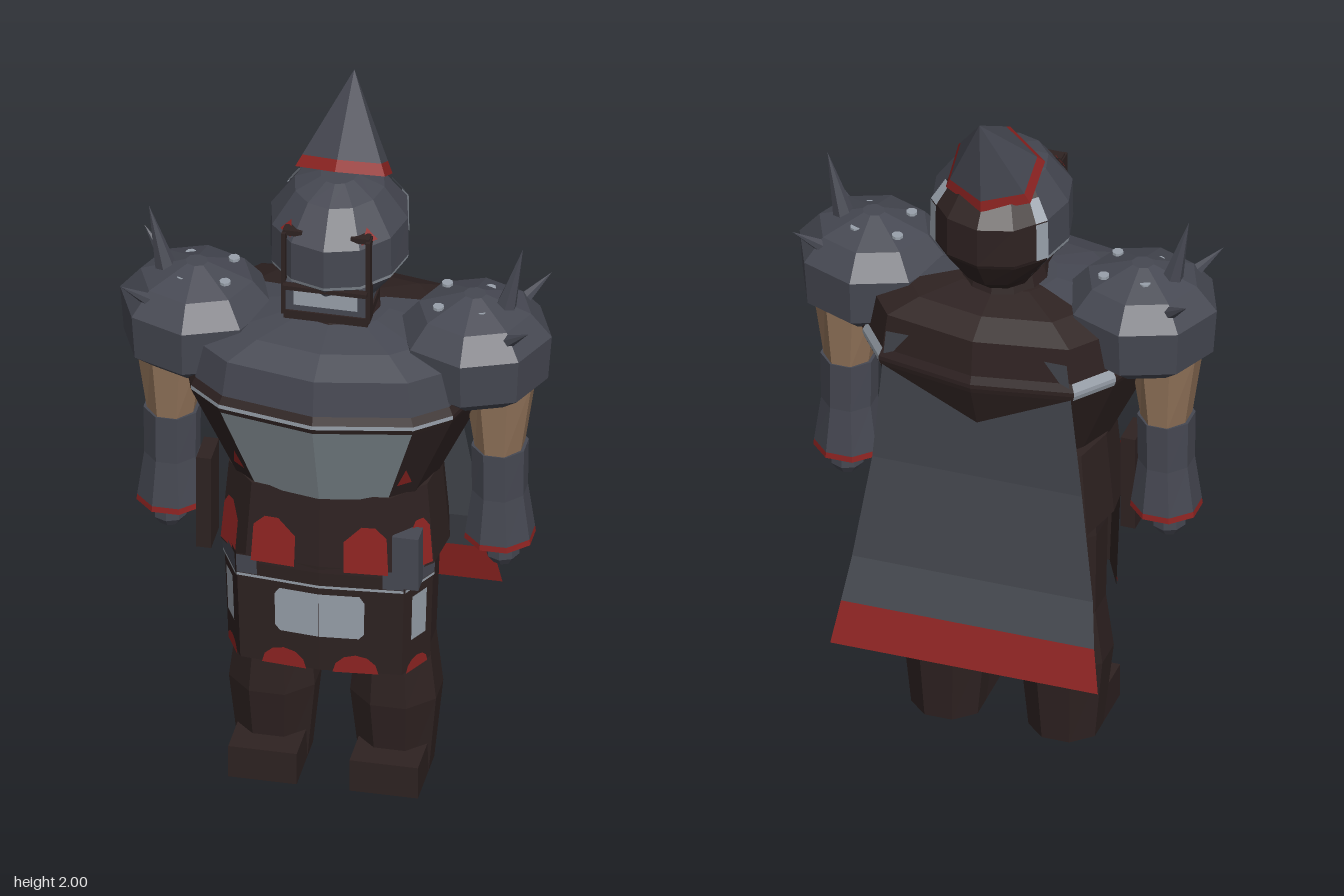
import * as THREE from 'three';

const mat = (name, color, side = THREE.FrontSide) =>
  Object.assign(new THREE.MeshStandardMaterial({ color, side, flatShading: true }), { name });
const steel = mat('steel', 0x464852, THREE.DoubleSide);
const brown = mat('darkLeather', 0x2e2221, THREE.DoubleSide);
const red = mat('red', 0x8f2422, THREE.DoubleSide);
const light = mat('brightMetal', 0x98a0aa, THREE.DoubleSide);
const plate = mat('chestPlate', 0x7c868c);
const skin = mat('skin', 0x8f7158);
const cloth = mat('capeCloth', 0x43464d, THREE.DoubleSide);

// Ring of points, front first, running towards +x
const ring = (y, rx, rz, cx = 0, cz = 0, n = 8, turn = 0) => Array.from({ length: n }, (_, j) => {
  const a = (j + turn) / n * Math.PI * 2;
  return [cx + rx * Math.sin(a), y, cz + rz * Math.cos(a)];
});
// Full ring from a half outline, front to back
const mirrored = (y, half, s = 1, dz = 0) => [
  ...half.map(([x, z]) => [x * s, y, z * s + dz]),
  ...half.slice(1, -1).reverse().map(([x, z]) => [-x * s, y, z * s + dz]),
];

// Skin over rings from bottom to top; pick(band, segment) returns the colour
function loft(name, rings, pick, closed = true) {
  const buckets = new Map();
  const tri = (m, ...pts) => {
    if (!buckets.has(m)) buckets.set(m, []);
    pts.forEach(p => buckets.get(m).push(...p));
  };
  const n = rings[0].length, last = rings.length - 1;
  const colour = typeof pick === 'function' ? pick : () => pick;
  for (let i = 0; i < last; i++) {
    for (let j = 0; j < (closed ? n : n - 1); j++) {
      const k = (j + 1) % n, a = rings[i][j], b = rings[i][k], c = rings[i + 1][k], d = rings[i + 1][j];
      tri(colour(i, j), a, b, c, a, c, d);
    }
  }
  if (closed) for (const [r, up] of [[rings[0], false], [rings[last], true]]) {
    const c = [0, 1, 2].map(k => r.reduce((s, p) => s + p[k], 0) / n);
    for (let j = 0; j < n; j++) {
      const a = r[j], b = r[(j + 1) % n], m = colour(up ? last - 1 : 0, j);
      up ? tri(m, c, a, b) : tri(m, c, b, a);
    }
  }
  const pos = [], geo = new THREE.BufferGeometry(), mats = [];
  for (const [m, list] of buckets) {
    geo.addGroup(pos.length / 3, list.length / 3, mats.length);
    mats.push(m);
    for (const v of list) pos.push(v);
  }
  geo.setAttribute('position', new THREE.Float32BufferAttribute(pos, 3));
  geo.computeVertexNormals();
  const mesh = new THREE.Mesh(geo, mats.length > 1 ? mats : mats[0]);
  mesh.name = name;
  return mesh;
}

// Painted shape on one loft facet; uv points run across and up the facet
function decal(name, lower, upper, j, uv, material, flip = false) {
  const n = lower.length, v3 = p => new THREE.Vector3(...p);
  const [a, b, c, d] = [lower[j], lower[(j + 1) % n], upper[(j + 1) % n], upper[j]].map(v3);
  const normal = b.clone().sub(a).cross(d.clone().sub(a)).normalize().multiplyScalar(0.005);
  const pts = uv.map(([u, v]) => {
    const t = flip ? 1 - u : u;
    return a.clone().lerp(b, t).lerp(d.clone().lerp(c, t), v).add(normal);
  });
  if (flip) pts.reverse();
  const pos = [];
  for (let i = 1; i < pts.length - 1; i++) [pts[0], pts[i], pts[i + 1]].forEach(p => pos.push(p.x, p.y, p.z));
  const geo = new THREE.BufferGeometry();
  geo.setAttribute('position', new THREE.Float32BufferAttribute(pos, 3));
  geo.computeVertexNormals();
  const mesh = new THREE.Mesh(geo, material);
  mesh.name = name;
  return mesh;
}
const rect = (u0, u1, v0, v1) => [[u0, v0], [u1, v0], [u1, v1], [u0, v1]];
const arch = (u0, u1, h) => Array.from({ length: 7 }, (_, i) => {
  const a = i / 6 * Math.PI;
  return [(u0 + u1) / 2 + (u1 - u0) / 2 * Math.cos(a), h * Math.sin(a)];
});

export function createModel() {
  const g = new THREE.Group();
  g.name = 'armouredWarrior';
  const box = (name, m, w, h, d, x, y, z) => {
    const b = new THREE.Mesh(new THREE.BoxGeometry(w, h, d), m);
    b.position.set(x, y, z);
    b.name = name;
    g.add(b);
  };
  const spike = (base, tip, r) => {
    const a = new THREE.Vector3(...base), dir = new THREE.Vector3(...tip).sub(a), h = dir.length();
    const m = new THREE.Mesh(new THREE.ConeGeometry(r, h, 6), steel);
    m.position.copy(a).addScaledVector(dir, 0.5);
    m.quaternion.setFromUnitVectors(new THREE.Vector3(0, 1, 0), dir.normalize());
    m.name = 'shoulderSpike';
    g.add(m);
  };
  // The same decal on a facet and its mirror image
  const pair = (name, rings, i, s, uv, m, n = 12) => {
    g.add(decal(name, rings[i], rings[i + 1], s, uv, m));
    g.add(decal(name, rings[i], rings[i + 1], n - 1 - s, uv, m, true));
  };
  const side = j => Math.min(j, 11 - j);

  // Chest, rim and shoulder yoke
  const chestHalf = [[0, .325], [.26, .275], [.35, .2], [.41, .02], [.35, -.13], [.27, -.235], [0, -.285]];
  const chest = [
    mirrored(.94, chestHalf, .68, .015), mirrored(1.2, chestHalf, .985), mirrored(1.215, chestHalf),
    mirrored(1.227, chestHalf), mirrored(1.25, chestHalf, .97), mirrored(1.35, chestHalf, .93),
    mirrored(1.385, chestHalf, .68), mirrored(1.41, chestHalf, .34),
  ];
  g.add(loft('chest', chest, (i, j) => {
    const s = side(j);
    if (i === 0) return s === 0 ? plate : brown;
    if (i < 4) return s === 4 || (i === 2 && s < 2) ? light : brown;
    return s < 4 ? steel : brown;
  }));
  pair('chestMark', chest, 0, 1, [[.1, .22], [.6, .22], [.2, .45]], red);

  // Waist with red patches
  const waistHalf = [[0, .24], [.2, .225], [.285, .13], [.3, 0], [.27, -.13], [.16, -.185], [0, -.19]];
  const waist = [mirrored(.71, waistHalf), mirrored(.95, waistHalf, .93)];
  g.add(loft('waist', waist, brown));
  const patch = (u0, u1) => [[u0, .04], [u1, .04], [u1, .5], [u1 - .15, .62], [u0 + .25, .62], [u0, .42]];
  pair('waistPatch', waist, 0, 0, patch(.33, .92), red);
  pair('hipPatch', waist, 0, 1, patch(.35, .95), red);
  pair('backPatch', waist, 0, 4, patch(.1, .95), red);
  box('hipPouch', steel, .07, .16, .06, .228, .76, .195);
  box('sheath', brown, .04, .28, .1, -.335, .8, .06);

  // Front skirt, an open curved flap
  const flap = (y, s) => [[-.275, .11], [-.22, .215], [0, .235], [.22, .215], [.275, .11]].map(([x, z]) => [x * s, y, z * s]);
  const skirt = [flap(.4, .98), flap(.73, 1.02)];
  g.add(loft('frontSkirt', skirt, brown, false));
  const onSkirt = (name, s, uv, m) => {
    g.add(decal(name, skirt[0], skirt[1], 2 + s, uv, m));
    g.add(decal(name, skirt[0], skirt[1], 1 - s, uv, m, true));
  };
  onSkirt('skirtPanel', 0, [[0, .33], [.48, .33], [.54, .38], [.54, .68], [.48, .74], [0, .74]], light);
  onSkirt('sidePanel', 1, rect(.25, .75, .3, .72), light);
  onSkirt('hemMark', 0, arch(.16, .72, .17), red);
  onSkirt('hemMark', 1, arch(.1, .85, .12), red);
  for (const s of [0, 1]) onSkirt('beltLine', s, rect(0, 1, .8, .825), light);
  onSkirt('beltTop', 0, rect(.75, 1, .83, 1), steel);
  onSkirt('beltTop', 1, rect(0, 1, .83, 1), steel);

  for (const s of [-1, 1]) {
    // Legs and feet
    const leg = (y, rx, rz, cx, cz) => ring(y, rx * 1.08, rz * 1.08, s * cx, cz, 8, .5);
    g.add(loft('leg', [leg(0, .092, .085, .162, .015), leg(.24, .115, .112, .162, .02),
      leg(.4, .098, .105, .16, .015), leg(.65, .115, .113, .15, .007), leg(.76, .11, .11, .15, .01)], brown));
    box('foot', brown, .183, .095, .15, s * .162, .0475, .11);

    // Shoulder guard, studs and spikes
    const bx = s * .372, bz = .022;
    g.add(loft('shoulderGuard', [[1.21, .13], [1.26, .195], [1.39, .205], [1.455, .15], [1.5, .03]]
      .map(([y, r]) => ring(y, r, r * .95, bx, bz)), steel));
    for (const dx of [.285, .4]) for (const dz of [-.04, .075]) {
      const stud = new THREE.Mesh(new THREE.CylinderGeometry(.015, .015, .008, 8), light);
      stud.position.set(s * dx, 1.478, dz);
      stud.name = 'stud';
      g.add(stud);
    }
    spike([s * .445, 1.43, .022], [s * .5, 1.655, .022], .035);
    spike([s * .46, 1.41, -.065], [s * .545, 1.49, -.13], .025);
    spike([s * .46, 1.41, .11], [s * .545, 1.49, .17], .025);

    // Arm, gauntlet and hand
    const arm = (y, rx, rz = rx) => ring(y, rx * 1.06, rz * 1.06, s * .438, .02, 8, .5);
    g.add(loft('upperArm', [arm(1.03, .062, .072), arm(1.26, .095, .088)], skin));
    g.add(loft('gauntlet', [arm(.75, .09, .089), arm(.767, .088, .088), arm(.9, .07, .075), arm(1.04, .072, .076)],
      i => (i === 0 ? red : steel)));
    const hand = new THREE.Mesh(new THREE.SphereGeometry(.048, 8, 5), steel);
    hand.position.set(s * .445, .712, .02);
    hand.name = 'hand';
    g.add(hand);
  }

  // Neck and helmet
  g.add(loft('neck', [ring(1.37, .125, .125, 0, 0, 12), ring(1.47, .1, .1, 0, 0, 12)], brown));
  const head = [[1.43, .09, .1], [1.465, .11, .14], [1.555, .182, .2], [1.567, .185, .206], [1.68, .183, .206],
    [1.77, .12, .135], [1.8, .05, .06]].map(([y, rx, rz]) => ring(y, rx, rz, 0, -.024, 12));
  g.add(loft('helmet', head, (i, j) => {
    const s = side(j);
    if (i === 2) return s < 4 ? light : brown;
    return s < 4 && i > 0 ? steel : brown;
  }));
  pair('helmetTrim', head, 3, 4, rect(0, .35, 0, 1), light);
  pair('helmetTrim', head, 4, 4, rect(0, .35, 0, .6), light);
  pair('browMark', head, 4, 1, [[.05, .1], [.6, .1], [.35, .45]], red);

  // Jaw guard and face frame
  box('jaw', steel, .215, .11, .15, 0, 1.5, .075);
  box('mouthPanel', light, .17, .055, .008, 0, 1.515, .151);
  box('jawRim', brown, .225, .025, .16, 0, 1.455, .075);
  box('jawRim', brown, .225, .012, .06, 0, 1.547, .14);
  for (const s of [-1, 1]) {
    box('faceBar', brown, .011, .25, .04, s * .113, 1.58, .135);
    box('browBar', brown, .05, .016, .03, s * .09, 1.703, .13);
  }

  // Pointed hat leaning back, with a red brim
  const brim = [[0, 1.838, .036], [.12, 1.797, -.03], [.117, 1.735, -.14], [0, 1.72, -.2], [-.117, 1.735, -.14], [-.12, 1.797, -.03]];
  const tip = [0, 2, -.21];
  const toTip = t => brim.map(p => p.map((v, k) => v + (tip[k] - v) * t));
  g.add(loft('hat', [brim, toTip(.12), toTip(.999)], i => (i === 0 ? red : steel)));

  // Cape sweeping outwards to a red hem
  const cape = [[.36, .37, -.333], [.48, .35, -.305], [.6, .333, -.265], [.9, .29, -.228], [1.31, .25, -.235]]
    .map(([y, w, z]) => [[w, y, z], [-w, y, z]]);
  g.add(loft('cape', cape, i => (i === 0 ? red : cloth), false));
  return g;
}
